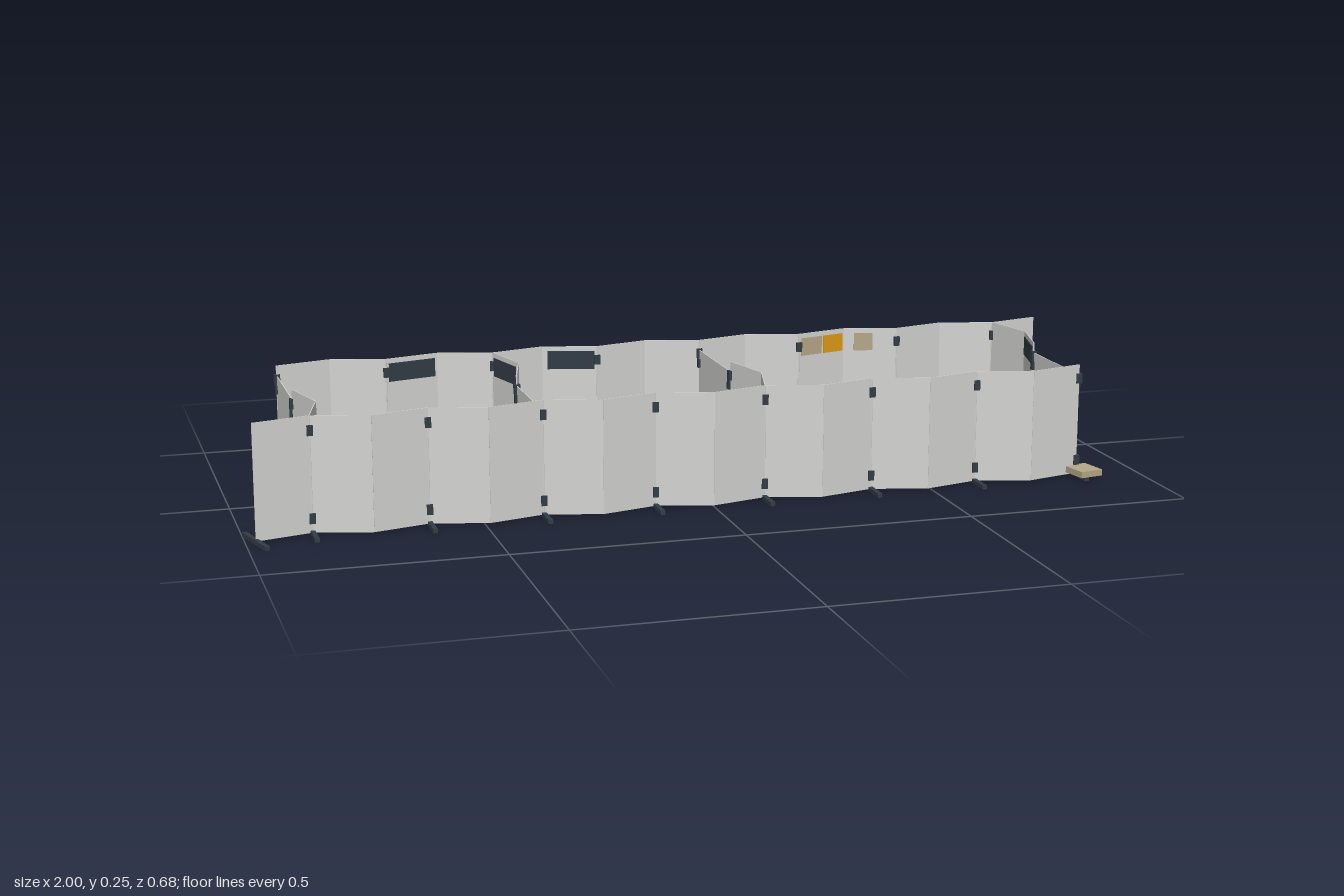
import * as THREE from 'three';

const mat = (name, color) => {
  const m = new THREE.MeshStandardMaterial({ color });
  m.name = name;
  return m;
};

export function createModel() {
  const root = new THREE.Group();
  const panelMat = mat('panel grey', 0xd3d4d1);
  const darkMat = mat('dark slate', 0x323c46);
  const bagMat = mat('sand', 0xb5a888);
  const amberMat = mat('amber', 0xdc9a14);

  const STEP = 0.245, W = 0.245, X0 = -0.8575, BULGE = 0.032, TOP = 0.253;
  const postX = i => X0 + i * STEP;

  const box = (name, material, w, h, d, x, y, z, ry = 0, parent = root) => {
    const m = new THREE.Mesh(new THREE.BoxGeometry(w, h, d), material);
    m.name = name;
    m.position.set(x, y, z);
    m.rotation.y = ry;
    parent.add(m);
    return m;
  };

  // Upright plate between two ground points [x, z]
  const plate = (name, material, a, b, y0, y1, t) => {
    const dx = b[0] - a[0], dz = b[1] - a[1];
    return box(name, material, Math.hypot(dx, dz), y1 - y0, t,
      (a[0] + b[0]) / 2, (y0 + y1) / 2, (a[1] + b[1]) / 2, -Math.atan2(dz, dx));
  };

  const leaf = (name, a, b, y0 = 0.004, y1 = TOP) => plate(name, panelMat, a, b, y0, y1, 0.002);

  // Two leaves folded outward in the middle
  const folded = (name, a, b, ox, oz) => {
    const mid = [(a[0] + b[0]) / 2 + ox, (a[1] + b[1]) / 2 + oz];
    leaf(name, a, mid);
    leaf(name, mid, b);
  };

  // Post with upper and lower clips
  const post = (x, z) => {
    const g = new THREE.Group();
    g.name = 'post';
    g.position.set(x, 0, z);
    root.add(g);
    const pole = new THREE.Mesh(new THREE.CylinderGeometry(0.002, 0.002, TOP, 8), panelMat);
    pole.name = 'pole';
    pole.position.y = TOP / 2;
    g.add(pole);
    for (const y of [0.035, 0.222]) box('clip', darkMat, 0.013, 0.022, 0.013, 0, y, 0, 0, g);
  };

  // Floor foot running between two ground points
  const foot = (a, b) => plate('foot', darkMat, a, b, 0, 0.009, 0.01);

  // Sandbag weight resting on a foot
  const bag = (x, z, ry) => box('sandbag', bagMat, 0.055, 0.014, 0.064, x, 0.016, z, ry);

  // Long walls, mirrored front and back
  for (const s of [1, -1]) {
    for (let i = 0; i < 8; i++) {
      const x = postX(i), z = s * W;
      post(x, z);
      if (i < 7) folded('longWallPanel', [x, z], [postX(i + 1), z], 0, s * BULGE);
      const halfFoot = i === 0 || i === 2 || i === 4 || i === 7;
      foot([x, halfFoot ? z : z - s * 0.062], [x, z + s * 0.062]);
    }
    // Corner bag, and the wing at the opposite end
    bag(s * (postX(7) + 0.006), s * 0.275, 0.2);
    const end = [-s * 0.979, s * 0.277];
    leaf('endWing', [s * X0, s * W], end);
    foot([end[0] - s * 0.016, end[1] - s * 0.06], [end[0] + s * 0.016, end[1] + s * 0.06]);
  }

  // Thin sign between fractions u0 and u1 of a leaf, on one of its sides
  const sign = (material, a, b, u0, u1, side, y0 = 0.2, y1 = 0.242) => {
    const at = u => [a[0] + (b[0] - a[0]) * u, a[1] + (b[1] - a[1]) * u];
    plate('sign', material, at(u0), at(u1), y0, y1, 0.002).translateZ(side * 0.002);
  };

  // Cross walls: one folded half, one door half
  for (const [i, s] of [[0, 1], [2, -1], [4, 1], [7, -1]]) {
    const x = postX(i);
    post(x, 0);
    folded('crossWallPanel', [x, 0], [x, s * W], BULGE, 0);
    leaf('door', [x, -s * 0.003], [x, -s * (W - 0.003)], 0.025, 0.23);
    for (const y of [0.05, 0.2]) box('hinge', darkMat, 0.012, 0.02, 0.012, x, y, -s * 0.004);
    box('latch', darkMat, 0.012, 0.02, 0.012, x, 0.2, -s * 0.237);
    sign(darkMat, [x, -s * W], [x, 0], 0.06, 0.27, -1, 0.178, 0.215);
    foot([x - 0.06, 0], [x + 0.062, 0]);
    bag(x - 0.034, 0, 0);
  }

  // Signs on the inner faces of the long walls
  const apex = (i, s) => [postX(i) + STEP / 2, s * (W + BULGE)];
  sign(darkMat, [postX(1), -W], apex(1, -1), 0.05, 0.95, 1);
  sign(darkMat, apex(2, -1), [postX(3), -W], 0.1, 0.95, 1);
  sign(bagMat, [postX(5), -W], apex(5, -1), 0.05, 0.5, 1);
  sign(amberMat, [postX(5), -W], apex(5, -1), 0.54, 0.97, 1);
  sign(bagMat, apex(5, -1), [postX(6), -W], 0.2, 0.55, 1);
  sign(darkMat, apex(5, 1), [postX(6), W], 0.05, 0.95, -1);
  // Signs on the folded cross walls
  sign(darkMat, [postX(7) + BULGE, -W / 2], [postX(7), 0], 0.06, 0.95, 1);
  sign(darkMat, [postX(2), -W], [postX(2) + BULGE, -W / 2], 0.08, 0.92, 1);

  return root;
}
